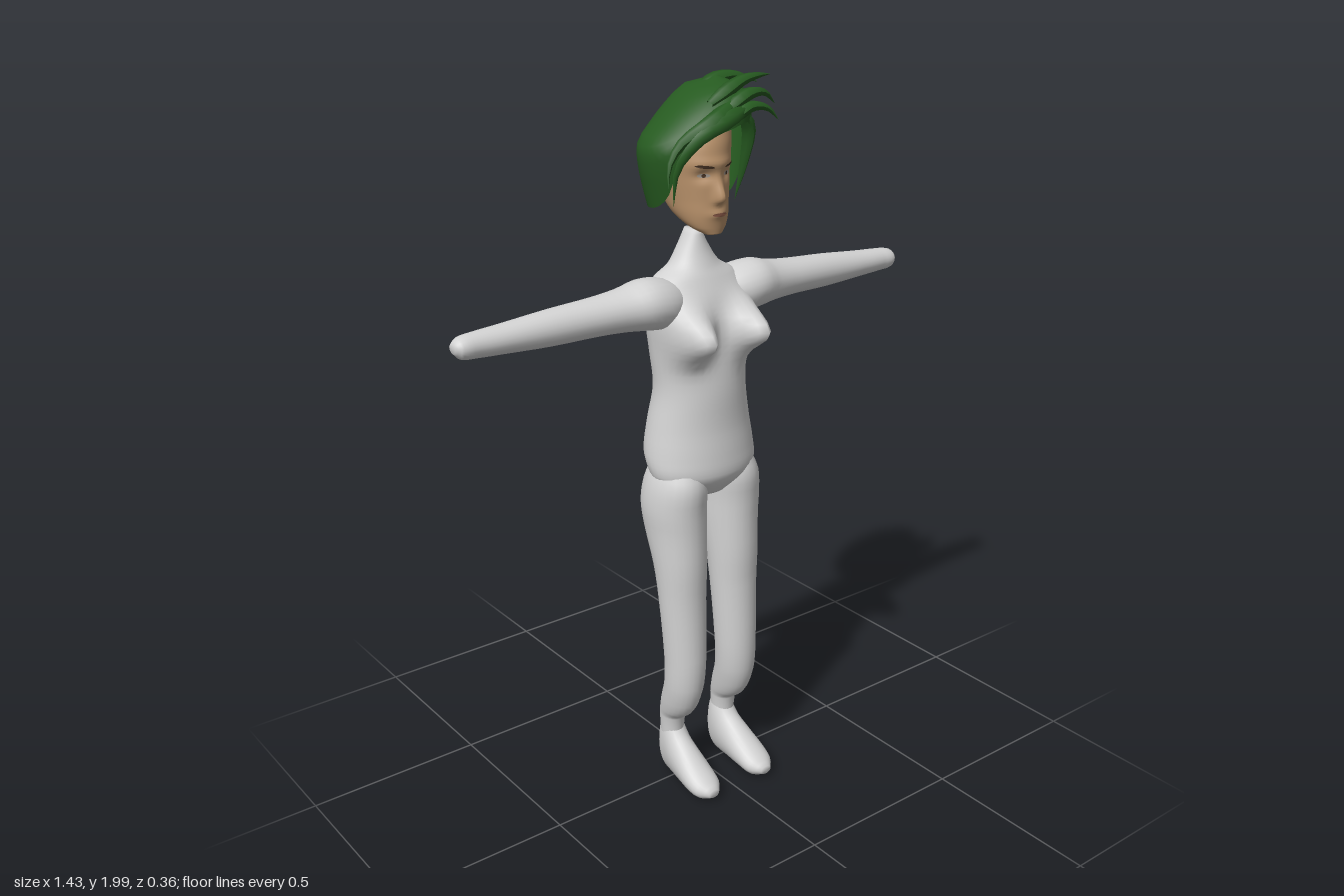
import * as THREE from 'three';

const mat = (name, color, side = THREE.FrontSide) => {
  const m = new THREE.MeshStandardMaterial({ color, side });
  m.name = name;
  return m;
};

// Smooth interpolation of rows [t, a, b, c, ...] at t
function sample(rows, t) {
  let i = 0;
  while (i < rows.length - 2 && t > rows[i + 1][0]) i++;
  const slope = (j, k) => {
    const a = rows[Math.max(j - 1, 0)], b = rows[Math.min(j + 1, rows.length - 1)];
    return (b[k] - a[k]) / (b[0] - a[0]);
  };
  const p = rows[i], q = rows[i + 1], h = q[0] - p[0];
  const s = Math.min(1, Math.max(0, (t - p[0]) / h)), s2 = s * s, s3 = s2 * s;
  return p.slice(1).map((v, n) => (2 * s3 - 3 * s2 + 1) * v + (s3 - 2 * s2 + s) * h * slope(i, n + 1)
    + (3 * s2 - 2 * s3) * q[n + 1] + (s3 - s2) * h * slope(i + 1, n + 1));
}

function toGeometry(pos, idx) {
  const g = new THREE.BufferGeometry();
  g.setAttribute('position', new THREE.Float32BufferAttribute(pos, 3));
  g.setIndex(idx);
  g.computeVertexNormals();
  return g;
}

// Closed loft through elliptical rings [t, c1, c2, r1, r2] along an axis; side -1 mirrors in x
function loft(rings, axis, { side = 1, segs = 24, steps = 3, bump } = {}) {
  const pos = [], idx = [], ts = [];
  rings.forEach((r, i) => {
    if (i) for (let k = 1; k <= steps; k++) ts.push(rings[i - 1][0] + (r[0] - rings[i - 1][0]) * k / steps);
    else ts.push(r[0]);
  });
  const put = (t, u, v, front) => {
    const p = axis === 'x' ? [t, u, v] : axis === 'y' ? [u, t, v] : [u, v, t];
    if (bump && front) p[2] += bump(p[0], p[1]) * front;
    pos.push(p[0] * side, p[1], p[2]);
  };
  ts.forEach((t, j) => {
    const [c1, c2, r1, r2] = sample(rings, t);
    for (let k = 0; k < segs; k++) {
      const a = k / segs * Math.PI * 2;
      put(t, c1 + r1 * Math.cos(a), c2 + r2 * Math.sin(a), Math.min(1, Math.max(0, Math.sin(a) * 2.5)));
      if (j) {
        const b = (j - 1) * segs, k2 = (k + 1) % segs;
        idx.push(b + k, b + segs + k, b + k2, b + k2, b + segs + k, b + segs + k2);
      }
    }
  });
  const n = ts.length * segs, last = n - segs;
  for (const r of [rings[0], rings[rings.length - 1]]) put(r[0], r[1], r[2], 0);
  for (let k = 0; k < segs; k++) {
    const k2 = (k + 1) % segs;
    idx.push(n, k, k2, n + 1, last + k2, last + k);
  }
  // Turn all faces outward
  let vol = 0;
  const V = i => new THREE.Vector3().fromArray(pos, i * 3);
  for (let i = 0; i < idx.length; i += 3) vol += V(idx[i]).dot(V(idx[i + 1]).cross(V(idx[i + 2])));
  if (vol < 0) idx.reverse();
  return toGeometry(pos, idx);
}

const gauss = (d, w) => Math.exp(-(d * d) / (w * w));

const TORSO = [[0.9, 0, 0, 0.07, 0.06], [0.94, 0, 0, 0.14, 0.095], [0.97, 0, 0, 0.16, 0.107], [1.02, 0, -0.015, 0.163, 0.12],
  [1.1, 0, -0.018, 0.15, 0.115], [1.2, 0, -0.012, 0.133, 0.107], [1.3, 0, -0.02, 0.14, 0.105], [1.38, 0, -0.025, 0.15, 0.1],
  [1.44, 0, -0.03, 0.152, 0.088], [1.49, 0, -0.035, 0.125, 0.07], [1.52, 0, -0.037, 0.075, 0.056],
  [1.56, 0, -0.04, 0.046, 0.042], [1.61, 0, -0.04, 0.018, 0.028]];
const ARM = [[0.06, 1.43, -0.03, 0.05, 0.06], [0.12, 1.435, -0.02, 0.066, 0.078], [0.18, 1.442, -0.014, 0.066, 0.076],
  [0.24, 1.437, -0.02, 0.056, 0.064], [0.32, 1.433, -0.025, 0.05, 0.055], [0.45, 1.428, -0.03, 0.046, 0.047],
  [0.58, 1.425, -0.032, 0.037, 0.04], [0.66, 1.425, -0.03, 0.032, 0.034], [0.7, 1.425, -0.028, 0.027, 0.03], [0.717, 1.427, -0.028, 0.012, 0.015]];
const LEG = [[0.08, 0.092, -0.02, 0.03, 0.035], [0.2, 0.093, -0.02, 0.034, 0.041], [0.23, 0.093, 0, 0.042, 0.055],
  [0.27, 0.093, 0.018, 0.049, 0.062], [0.33, 0.092, 0.036, 0.055, 0.06], [0.42, 0.09, 0.039, 0.059, 0.061],
  [0.6, 0.09, 0.027, 0.067, 0.066], [0.7, 0.09, 0.018, 0.073, 0.077], [0.8, 0.09, -0.002, 0.08, 0.095],
  [0.87, 0.092, -0.008, 0.083, 0.102], [0.94, 0.088, -0.003, 0.078, 0.1], [1, 0.08, -0.005, 0.06, 0.08]];
const FOOT = [[-0.064, 0.09, 0.1, 0.015, 0.05], [-0.05, 0.09, 0.105, 0.03, 0.09], [-0.02, 0.09, 0.105, 0.038, 0.1],
  [0.02, 0.092, 0.08, 0.042, 0.075], [0.06, 0.094, 0.065, 0.046, 0.06], [0.11, 0.096, 0.048, 0.048, 0.043],
  [0.15, 0.096, 0.036, 0.042, 0.03], [0.18, 0.096, 0.032, 0.018, 0.012]];
const HEAD = [[1.612, 0, 0.045, 0.025, 0.018], [1.63, 0, 0.02, 0.05, 0.046], [1.66, 0, -0.01, 0.068, 0.08], [1.7, 0, -0.03, 0.078, 0.098],
  [1.75, 0, -0.04, 0.086, 0.107], [1.8, 0, -0.042, 0.089, 0.11], [1.85, 0.01, -0.045, 0.086, 0.105], [1.9, 0.03, -0.05, 0.06, 0.085], [1.93, 0.05, -0.05, 0.02, 0.03]];
// Hair outline, and its lower edge height by angle from the front (degrees)
const HAIR = [[1.66, 0.01, -0.06, 0.115, 0.1], [1.72, 0.01, -0.06, 0.13, 0.115], [1.78, 0.01, -0.06, 0.143, 0.121],
  [1.83, 0.015, -0.058, 0.147, 0.126], [1.88, 0.04, -0.055, 0.128, 0.125], [1.93, 0.065, -0.055, 0.096, 0.112],
  [1.965, 0.08, -0.06, 0.058, 0.082], [1.985, 0.09, -0.06, 0.005, 0.005]];
const EDGE = [[-180, 1.68], [-100, 1.67], [-65, 1.7], [-45, 1.78], [-20, 1.85], [0, 1.87], [30, 1.88], [50, 1.84], [70, 1.74], [90, 1.68], [130, 1.69], [180, 1.68]];

// Nose, brow, eye sockets, lips
const faceBump = (x, y) => 0.026 * gauss(x, 0.014) * gauss(y - 1.705, y > 1.705 ? 0.04 : 0.013)
  + 0.006 * gauss(y - 1.79, 0.014) * gauss(x, 0.07)
  - 0.011 * gauss(Math.abs(x) - 0.036, 0.02) * gauss(y - 1.762, 0.015)
  + 0.006 * gauss(x, 0.025) * gauss(y - 1.665, 0.011);

// Thin oval patch laid on the face
function facePatch(x, y, w, h, tilt = 0) {
  const g = new THREE.CircleGeometry(1, 16).scale(w, h, 1).rotateZ(tilt).translate(x, y, 0);
  const p = g.attributes.position;
  for (let i = 0; i < p.count; i++) {
    const px = p.getX(i), py = p.getY(i), [cx, cz, rx, rz] = sample(HEAD, py);
    p.setZ(i, cz + rz * Math.sqrt(Math.max(0, 1 - ((px - cx) / rx) ** 2)) + faceBump(px, py) + 0.003);
  }
  g.computeVertexNormals();
  return g;
}

function hairCap() {
  const pos = [], idx = [], N = 48, M = 14;
  for (let j = 0; j <= M; j++) for (let k = 0; k <= N; k++) {
    const deg = -180 + 360 * k / N, a = deg * Math.PI / 180;
    const b = sample(EDGE, deg)[0], y = b + (1.985 - b) * j / M;
    const [cx, cz, rx, rz] = sample(HAIR, y);
    pos.push(cx + rx * Math.sin(a), y, cz + rz * Math.cos(a));
    if (j && k) {
      const q = j * (N + 1) + k, d = q - N - 1;
      idx.push(d - 1, d, q - 1, d, q, q - 1);
    }
  }
  return toGeometry(pos, idx);
}

// Tapering lock of hair along a curve
function hairLock(points, r) {
  const curve = new THREE.CatmullRomCurve3(points.map(p => new THREE.Vector3(...p)));
  const n = 10, g = new THREE.TubeGeometry(curve, n, r, 6), p = g.attributes.position, v = new THREE.Vector3();
  for (let i = 0; i < p.count; i++) {
    const t = Math.floor(i / 7) / n, c = curve.getPointAt(t);
    v.fromBufferAttribute(p, i).sub(c).multiplyScalar(Math.max(0.02, Math.min(1, 0.5 + t * 2) * (1 - t ** 1.6))).add(c);
    p.setXYZ(i, v.x, v.y, v.z);
  }
  g.computeVertexNormals();
  return g;
}

export function createModel() {
  const model = new THREE.Group();
  const suit = mat('light grey body', 0xd2d2d2), skin = mat('tan skin', 0xb8916a);
  const green = mat('dark green hair', 0x265a20, THREE.DoubleSide);
  const dark = mat('dark brown brows', 0x4a3526), lip = mat('lip brown', 0x8a5a48), white = mat('eye grey', 0xa39a90);
  const add = (name, geo, m, parent = model) => {
    const mesh = new THREE.Mesh(geo, m);
    mesh.name = name;
    parent.add(mesh);
  };

  // Body
  add('torso', loft(TORSO, 'y', { segs: 40, steps: 4,
    bump: (x, y) => 0.115 * gauss(Math.abs(x) - 0.092, 0.048) * gauss(y - 1.36, 0.06) }), suit);
  for (const [label, side] of [['left', 1], ['right', -1]]) {
    add(label + 'Arm', loft(ARM, 'x', { side }), suit);
    add(label + 'Leg', loft(LEG, 'y', { side }), suit);
    add(label + 'Foot', loft(FOOT, 'z', { side }), suit);
  }

  // Head and face
  const head = new THREE.Group();
  head.name = 'head';
  model.add(head);
  add('face', loft(HEAD, 'y', { segs: 72, steps: 7, bump: faceBump }), skin, head);
  for (const s of [1, -1]) {
    add('eyebrow', facePatch(s * 0.038, 1.785, 0.022, 0.004, s * 0.12), dark, head);
    add('eye', facePatch(s * 0.036, 1.762, 0.015, 0.005), white, head);
    add('iris', facePatch(s * 0.036, 1.762, 0.005, 0.005).translate(0, 0, 0.002), dark, head);
  }
  add('mouth', facePatch(0, 1.664, 0.022, 0.005), lip, head);

  // Hair
  const hair = new THREE.Group();
  hair.name = 'hair';
  model.add(hair);
  add('hairCap', hairCap(), green, hair);
  const locks = [
    // swept spikes on the left of the crown
    [[[0, 1.93, 0.03], [0.1, 1.98, 0.03], [0.16, 1.988, 0.025], [0.21, 1.985, 0.01]], 0.022],
    [[[0.03, 1.94, -0.06], [0.1, 1.975, -0.07], [0.16, 1.98, -0.06], [0.215, 1.96, -0.045]], 0.025],
    [[[0.03, 1.91, 0.05], [0.11, 1.95, 0.05], [0.17, 1.945, 0.04], [0.21, 1.915, 0.03]], 0.022],
    [[[0.04, 1.89, 0.06], [0.11, 1.92, 0.06], [0.16, 1.91, 0.065], [0.19, 1.88, 0.07]], 0.02],
    [[[0.06, 1.95, -0.11], [0.12, 1.955, -0.11], [0.16, 1.95, -0.09], [0.2, 1.925, -0.07]], 0.022],
    // fringe sweeping to the right cheek
    [[[0.11, 1.92, 0.045], [0.03, 1.895, 0.07], [-0.06, 1.85, 0.06], [-0.1, 1.78, 0.03], [-0.105, 1.69, 0.02]], 0.026],
    [[[0.06, 1.93, 0.045], [-0.02, 1.89, 0.06], [-0.09, 1.84, 0.03], [-0.125, 1.79, 0.03], [-0.135, 1.74, 0.04]], 0.024],
    // side lock by the left cheek
    [[[0.09, 1.91, 0.04], [0.13, 1.86, 0.025], [0.13, 1.78, 0.01], [0.115, 1.675, -0.01]], 0.022]
  ];
  for (const [pts, r] of locks) add('hairLock', hairLock(pts, r), green, hair);
  return model;
}
